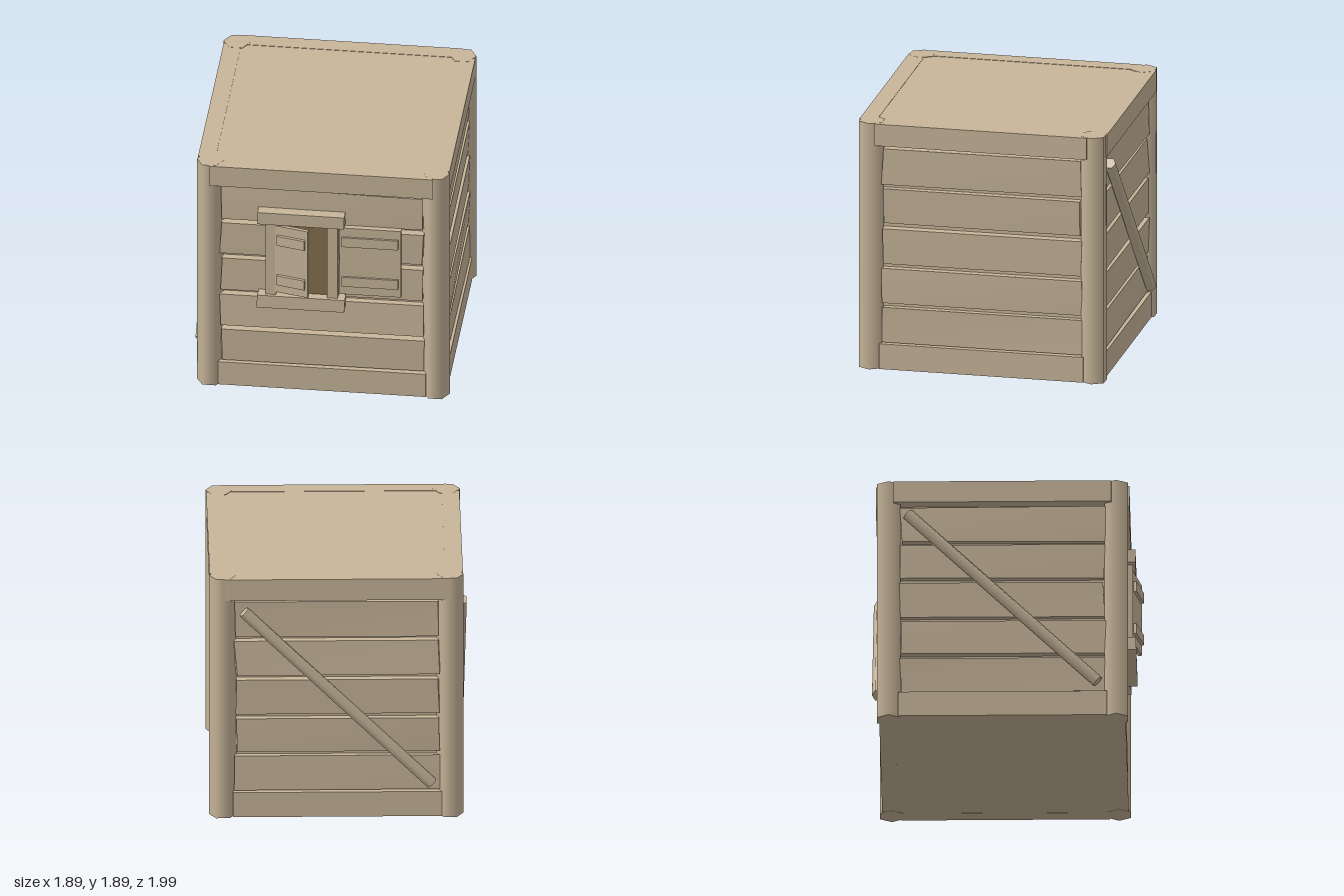
import * as THREE from 'three';

const wood = new THREE.MeshStandardMaterial({ color: 0xc8b69a });
wood.name = 'paleWood';
const dark = new THREE.MeshStandardMaterial({ color: 0x85704f });
dark.name = 'darkWood';

// seeded noise in -1..1 for hand-cut edges
let seed = 7;
const rnd = () => {
  seed = (seed * 16807) % 2147483647;
  return (seed / 2147483647) * 2 - 1;
};

function add(parent, name, geo, mat = wood) {
  const m = new THREE.Mesh(geo, mat);
  m.name = name;
  parent.add(m);
  return m;
}

// box given by its min and max corners
function block(parent, name, [x0, y0, z0], [x1, y1, z1], mat) {
  const g = new THREE.BoxGeometry(x1 - x0, y1 - y0, z1 - z0);
  g.translate((x0 + x1) / 2, (y0 + y1) / 2, (z0 + z1) / 2);
  return add(parent, name, g, mat);
}

// board whose eight corners are nudged a little
function plank(parent, name, min, max, amount) {
  const m = block(parent, name, min, max);
  const nudges = Array.from({ length: 8 }, () => [rnd() * amount * 1.4, rnd() * amount * 0.4, rnd() * amount]);
  const p = m.geometry.attributes.position;
  for (let i = 0; i < p.count; i++) {
    const k = (p.getX(i) > (min[0] + max[0]) / 2 ? 1 : 0)
      + (p.getY(i) > (min[1] + max[1]) / 2 ? 2 : 0)
      + (p.getZ(i) > (min[2] + max[2]) / 2 ? 4 : 0);
    const [a, b, c] = nudges[k];
    p.setXYZ(i, p.getX(i) + a, p.getY(i) + b, p.getZ(i) + c);
  }
  m.geometry.computeVertexNormals();
  return m;
}

// six-sided pole between two points
function brace(parent, name, a, b, r) {
  const from = new THREE.Vector3(...a), to = new THREE.Vector3(...b);
  const dir = to.clone().sub(from);
  const m = add(parent, name, new THREE.CylinderGeometry(r, r, dir.length(), 6));
  m.position.copy(from).add(to).multiplyScalar(0.5);
  m.quaternion.setFromUnitVectors(new THREE.Vector3(0, 1, 0), dir.normalize());
}

// one clad wall with its top beam; local +z points outward
function wall(root, name, angle, x, z, depth, beamDepth, beamHalf) {
  const w = new THREE.Group();
  w.name = name;
  w.rotation.y = angle;
  w.position.set(x, 0, z);
  root.add(w);
  const rows = [[0.205, 0.472], [0.508, 0.77], [0.81, 1.08], [1.118, 1.385], [1.418, 1.695]];
  for (const [y0, y1] of rows) {
    plank(w, 'plank', [-0.745, y0, depth - 0.07], [0.75, y1, depth], 0.009);
  }
  block(w, 'bottomBoard', [-0.765, 0.001, depth - 0.1], [0.77, 0.195, depth + 0.018]);
  block(w, 'topBeam', [-beamHalf, 1.722, beamDepth - 0.13], [beamHalf, 1.889, beamDepth]);
}

export function createModel() {
  const root = new THREE.Group();
  root.name = 'woodenHut';

  // inner body and roof
  block(root, 'body', [-0.835, 0.002, -0.865], [0.845, 1.7, 0.795]);
  block(root, 'roof', [-0.83, 1.7, -0.86], [0.84, 1.886, 0.79]);

  // corner posts
  for (const x of [-0.825, 0.845]) {
    for (const z of [-0.87, 0.8]) {
      const g = new THREE.CylinderGeometry(0.1, 0.1, 1.89, 6);
      g.rotateY(Math.PI / 2);
      add(root, 'cornerPost', g).position.set(x, 0.945, z);
    }
  }

  // walls: plank face and beam face distances from the centre
  wall(root, 'frontWall', 0, 0.005, 0, 0.852, 0.897, 0.828);
  wall(root, 'backWall', Math.PI, 0.005, 0, 0.922, 0.965, 0.828);
  wall(root, 'leftWall', Math.PI / 2, 0, -0.035, 0.902, 0.94, 0.8);
  wall(root, 'rightWall', -Math.PI / 2, 0, -0.035, 0.882, 0.92, 0.8);

  // diagonal poles
  brace(root, 'backBrace', [0.69, 1.63, -0.955], [-0.69, 0.265, -0.95], 0.045);
  brace(root, 'sideBrace', [-0.91, 1.63, -0.73], [-0.91, 0.265, 0.665], 0.045);

  // window frame and opening
  const win = new THREE.Group();
  win.name = 'window';
  root.add(win);
  block(win, 'opening', [-0.33, 0.83, 0.866], [0.055, 1.44, 0.874], dark);
  plank(win, 'lintel', [-0.465, 1.44, 0.8], [0.18, 1.54, 0.938], 0.004);
  plank(win, 'sill', [-0.463, 0.73, 0.8], [0.182, 0.832, 0.943], 0.004);
  block(win, 'jamb', [-0.405, 0.82, 0.8], [-0.325, 1.45, 0.917]);
  block(win, 'jamb', [0.05, 0.82, 0.8], [0.13, 1.45, 0.917]);

  // shutters with straps, each built from its hinge towards +x
  const shutter = (name, width, x, z, angle, thick, strap) => {
    const s = new THREE.Group();
    s.name = name;
    s.position.set(x, 0, z);
    s.rotation.y = angle;
    block(s, 'shutterBoard', [0, 0.857, 0], [width, 1.425, thick]);
    for (const y of [0.93, 1.27]) {
      block(s, 'strap', [0.018, y, thick], [width - 0.02, y + 0.08, thick + strap]);
    }
    win.add(s);
  };
  shutter('ajarShutter', 0.255, -0.325, 0.89, -0.24, 0.028, 0.022);
  shutter('openShutter', 0.455, 0.14, 0.85, 0, 0.042, 0.015);

  return root;
}
